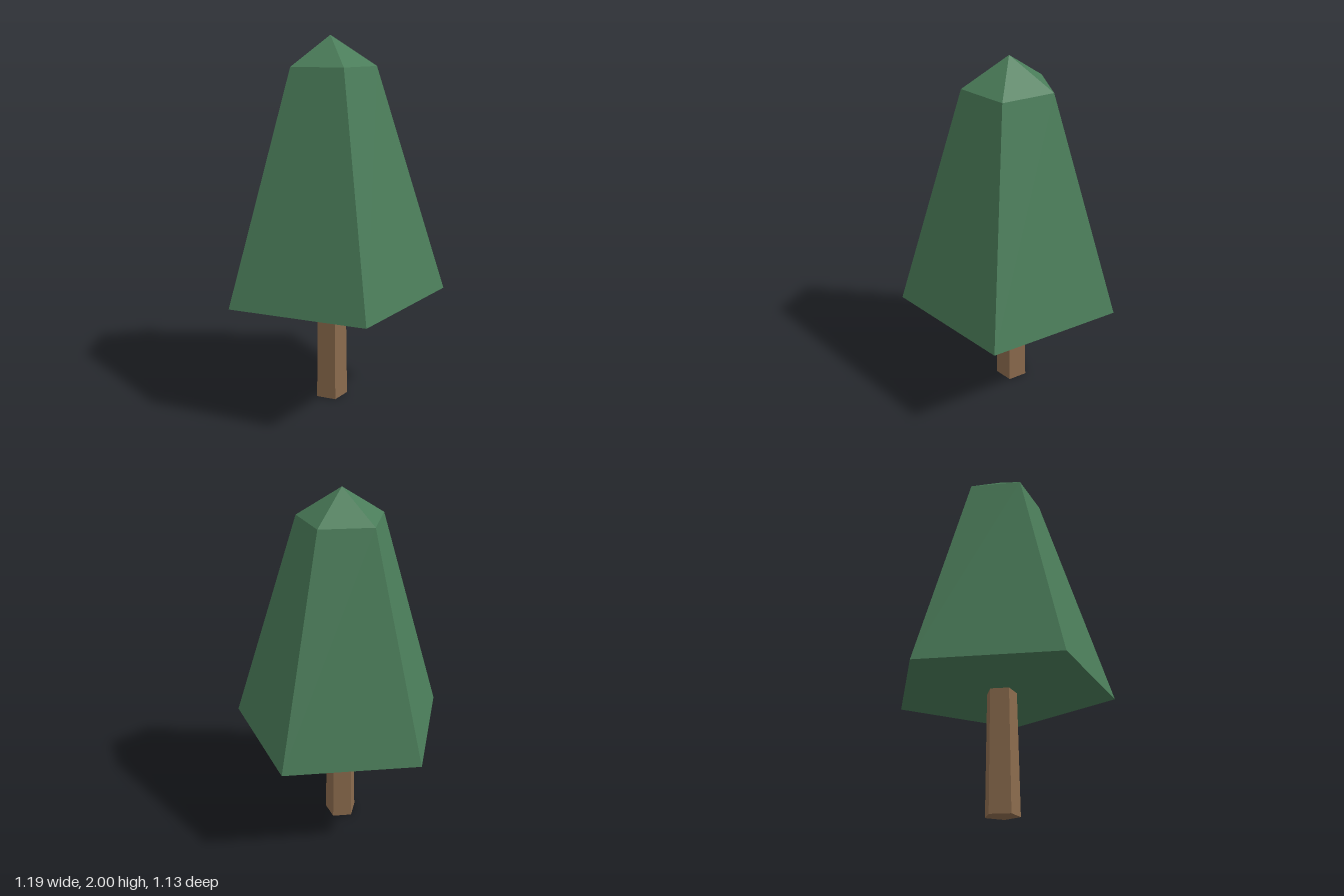
import * as THREE from 'three';

export function createModel() {
  const model = new THREE.Group();
  const foliage = new THREE.MeshStandardMaterial({ color: 0x4a7c59, flatShading: true });
  foliage.name = 'leaf green';
  const bark = new THREE.MeshStandardMaterial({ color: 0x8b6b4d, flatShading: true });
  bark.name = 'bark brown';

  // Five-sided tapered section with one corner pointing to the back
  const section = (name, rTop, rBottom, y0, y1, material, open = false) => {
    const geometry = new THREE.CylinderGeometry(rTop, rBottom, y1 - y0, 5, 1, open, Math.PI);
    const mesh = new THREE.Mesh(geometry, material);
    mesh.name = name;
    mesh.position.set(0, (y0 + y1) / 2, 0.06);
    model.add(mesh);
  };

  section('trunk', 0.084, 0.094, 0, 0.645, bark);
  section('crown', 0.24, 0.625, 0.645, 1.845, foliage);
  // Shallow pointed tip, open where it meets the crown
  section('crownTip', 0, 0.24, 1.845, 2, foliage, true);

  return model;
}
